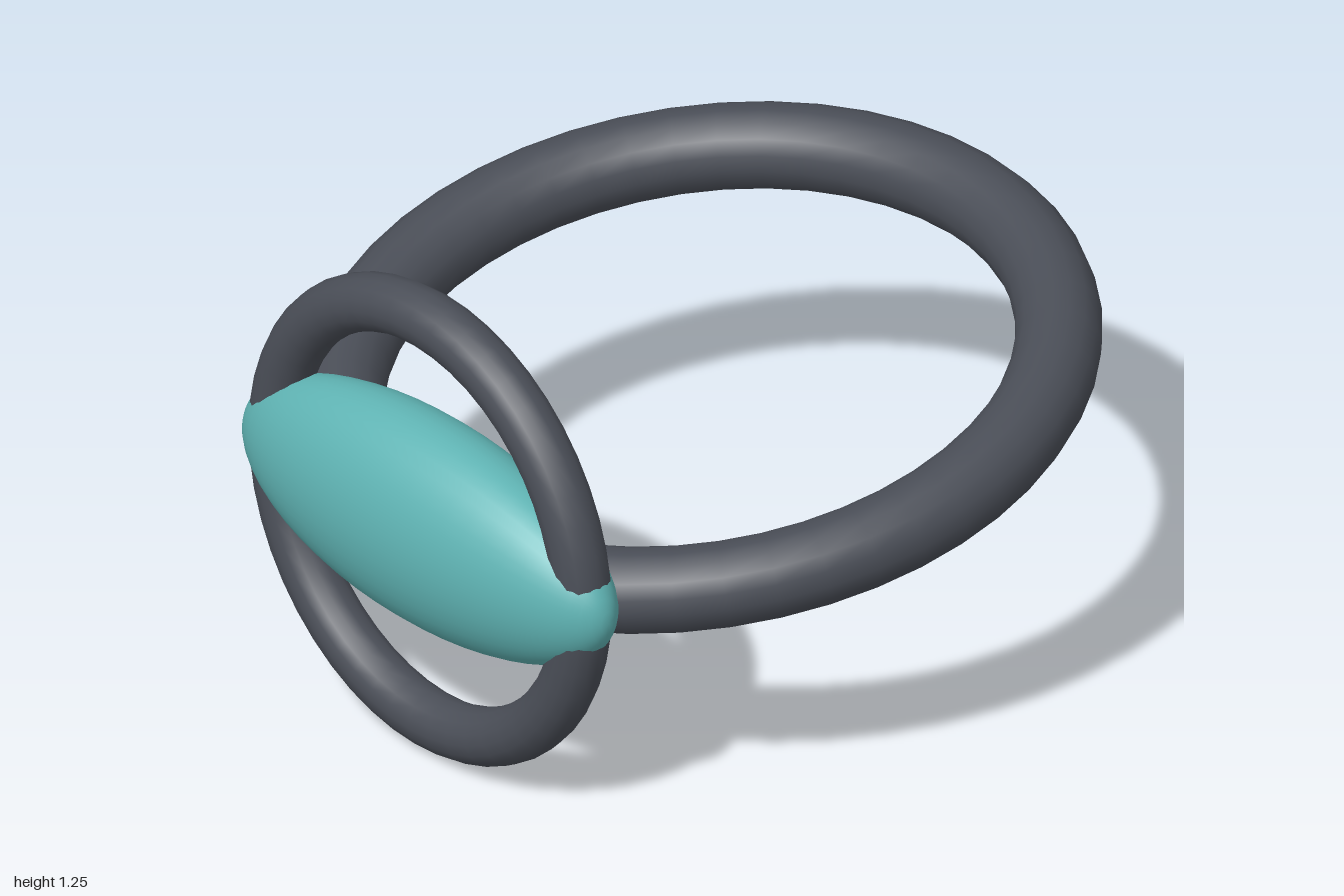
import * as THREE from 'three';

const CENTER_Y = 0.626;
const FRONT_Z = 0.81;

export function createModel() {
  const group = new THREE.Group();
  const metal = new THREE.MeshStandardMaterial({ color: 0x4a4e57 });
  const teal = new THREE.MeshStandardMaterial({ color: 0x5fb3b3 });

  function add(name, geometry, material, y, z) {
    const mesh = new THREE.Mesh(geometry, material);
    mesh.name = name;
    mesh.position.set(0, y, z);
    group.add(mesh);
    return mesh;
  }

  // Large band, tilted so that its back is raised
  const band = add('band', new THREE.TorusGeometry(0.865, 0.105, 16, 48), metal, 0.714, -0.043);
  band.rotation.x = Math.PI / 2 + THREE.MathUtils.degToRad(10);

  // Upright ring around the front piece
  add('frontRing', new THREE.TorusGeometry(0.552, 0.072, 16, 48), metal, CENTER_Y, FRONT_Z);

  // Long ellipsoid lying across the ring, poles at its left and right ends
  const lens = new THREE.SphereGeometry(1, 40, 28);
  lens.rotateZ(Math.PI / 2);
  lens.scale(0.65, 0.273, 0.188);
  add('lens', lens, teal, CENTER_Y, FRONT_Z);

  return group;
}
